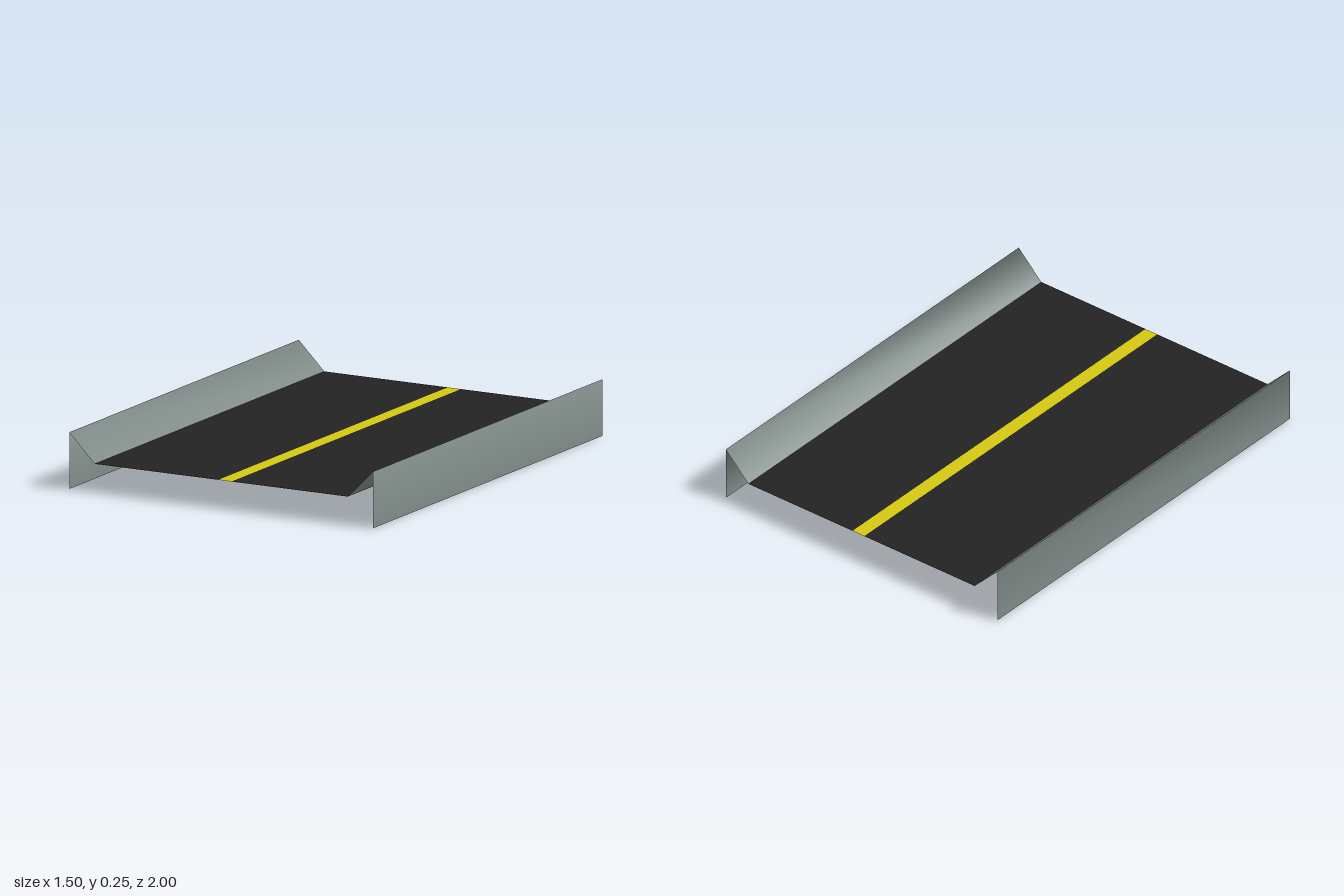
import * as THREE from 'three';

const HALF_LENGTH = 1;
const ROAD_Y = 0.125;

const paint = (name, color) => {
  const m = new THREE.MeshStandardMaterial({ color, side: THREE.DoubleSide });
  m.name = name;
  return m;
};

// Sweeps an open profile of [x, y] points along z with shared, smooth corners.
// Segments listed in `inward` face the other way.
function sheet(name, points, material, inward = []) {
  const position = points.flatMap(([x, y]) => [x, y, HALF_LENGTH, x, y, -HALF_LENGTH]);
  const index = [];
  for (let i = 0; i < points.length - 1; i++) {
    const a = 2 * i, b = a + 1, c = a + 2, d = a + 3;
    if (inward.includes(i)) index.push(a, d, c, a, b, d);
    else index.push(a, c, d, a, d, b);
  }
  const geometry = new THREE.BufferGeometry();
  geometry.setAttribute('position', new THREE.Float32BufferAttribute(position, 3));
  geometry.setIndex(index);
  geometry.computeVertexNormals();
  const mesh = new THREE.Mesh(geometry, material);
  mesh.name = name;
  return mesh;
}

export function createModel() {
  const asphalt = paint('asphalt', 0x232323);
  const yellow = paint('lineYellow', 0xd4c810);
  const concrete = paint('concrete', 0x7f8b88);

  const model = new THREE.Group();
  model.name = 'roadSection';

  // Road surface, split around the slightly off-centre line
  const flat = (name, x0, x1, material) =>
    model.add(sheet(name, [[x0, ROAD_Y], [x1, ROAD_Y]], material));
  flat('rightLane', -0.625, -0.015, asphalt);
  flat('centreLine', -0.015, 0.05, yellow);
  flat('leftLane', 0.05, 0.625, asphalt);

  // Barriers: upright outer wall and slope down to the road
  model.add(sheet('rightBarrier', [[-0.75, 0], [-0.75, 0.25], [-0.625, ROAD_Y]], concrete, [0]));
  model.add(sheet('leftBarrier', [[0.625, ROAD_Y], [0.75, 0.25], [0.75, 0]], concrete));

  return model;
}
